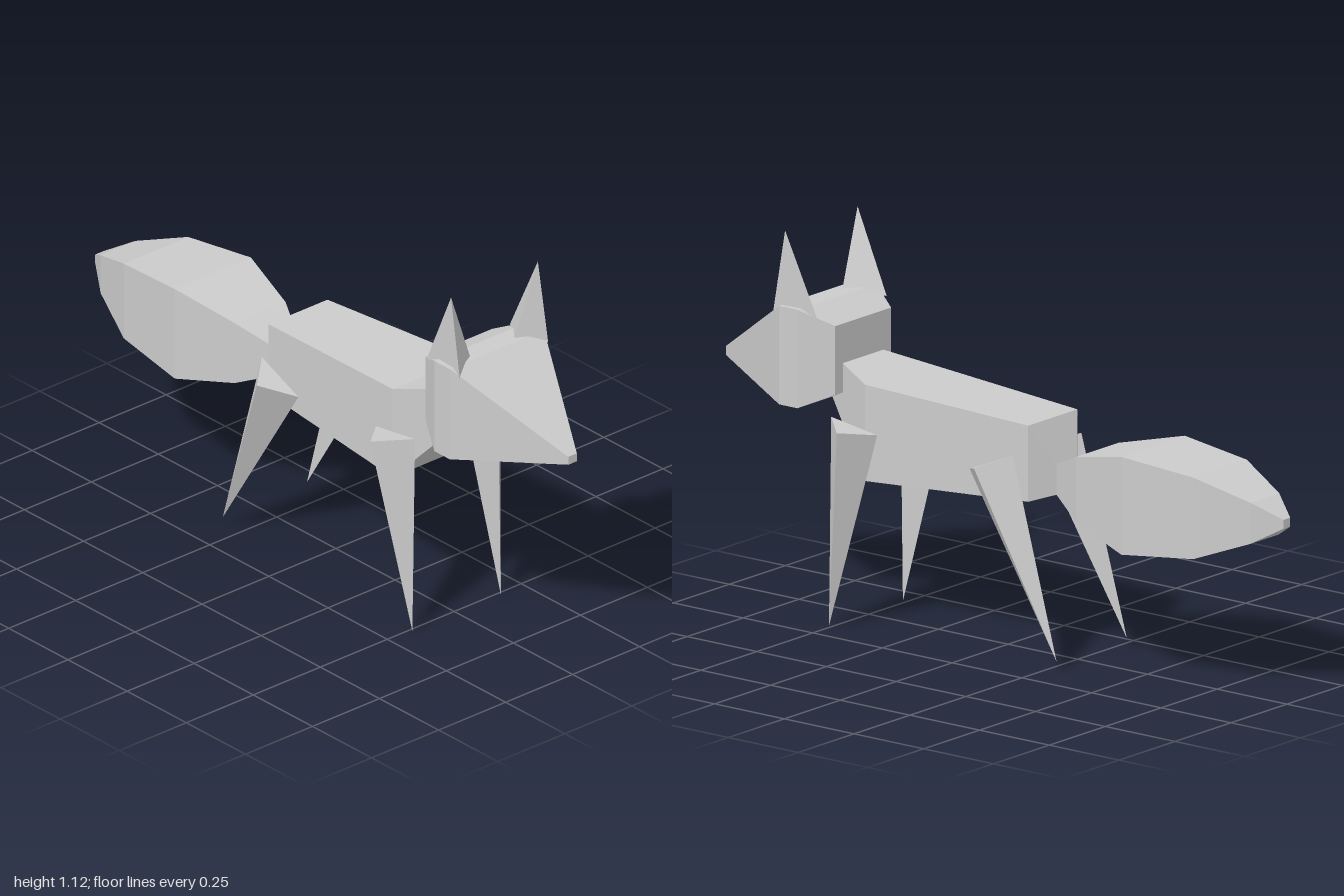
import * as THREE from 'three';
import { ConvexGeometry } from 'three/addons/geometries/ConvexGeometry.js';

const material = new THREE.MeshStandardMaterial({ color: 0xcccccc, flatShading: true });

// Rectangular sections along z, front to back: [z, half width, bottom y, top y]
function loft(name, sections) {
  const positions = [];
  const rings = sections.map(([z, w, y0, y1]) => [[-w, y0, z], [w, y0, z], [w, y1, z], [-w, y1, z]]);
  const quad = (a, b, c, d) => positions.push(...a, ...b, ...c, ...a, ...c, ...d);
  for (let i = 0; i < rings.length - 1; i++) {
    for (let j = 0; j < 4; j++) {
      const k = (j + 1) % 4;
      quad(rings[i][j], rings[i + 1][j], rings[i + 1][k], rings[i][k]);
    }
  }
  const last = rings[rings.length - 1];
  quad(...rings[0]);
  quad(last[3], last[2], last[1], last[0]);
  const geometry = new THREE.BufferGeometry();
  geometry.setAttribute('position', new THREE.Float32BufferAttribute(positions, 3));
  geometry.computeVertexNormals();
  const mesh = new THREE.Mesh(geometry, material);
  mesh.name = name;
  return mesh;
}

// Three-sided spike from four corners, on the side given by the sign
function spike(name, side, corners) {
  const points = corners.map(([x, y, z]) => new THREE.Vector3(x * side, y, z));
  const mesh = new THREE.Mesh(new ConvexGeometry(points), material);
  mesh.name = name;
  return mesh;
}

export function createModel() {
  const model = new THREE.Group();
  model.name = 'fox';

  // Wedge head tapering to the nose
  model.add(loft('head', [
    [1, 0.016, 0.67, 0.695],
    [0.68, 0.176, 0.616, 0.902],
    [0.615, 0.176, 0.616, 0.902],
    [0.52, 0.125, 0.66, 0.86],
  ]));

  // Neck, trunk and rump
  model.add(loft('body', [
    [0.6, 0.057, 0.66, 0.765],
    [0.4, 0.142, 0.435, 0.715],
    [-0.16, 0.11, 0.465, 0.686],
    [-0.21, 0.045, 0.48, 0.57],
  ]));

  // Bushy tail
  model.add(loft('tail', [
    [-0.21, 0.045, 0.48, 0.57],
    [-0.32, 0.095, 0.43, 0.62],
    [-0.52, 0.142, 0.381, 0.665],
    [-0.76, 0.12, 0.405, 0.642],
    [-0.92, 0.065, 0.465, 0.585],
    [-1, 0.015, 0.512, 0.538],
  ]));

  // Ears and legs, mirrored left and right
  for (const [label, side] of [['left', 1], ['right', -1]]) {
    model.add(spike(label + 'Ear', side, [
      [0.165, 0.88, 0.71], [0.155, 0.88, 0.56], [0.082, 0.9, 0.66], [0.162, 1.12, 0.67],
    ]));
    model.add(spike(label + 'FrontLeg', side, [
      [0.155, 0.605, 0.51], [0.155, 0.58, 0.345], [0.243, 0.592, 0.42], [0.165, 0, 0.51],
    ]));
    model.add(spike(label + 'BackLeg', side, [
      [0.153, 0.54, 0.015], [0.153, 0.605, -0.14], [0.236, 0.573, -0.067], [0.157, 0.035, -0.3],
    ]));
  }
  return model;
}
